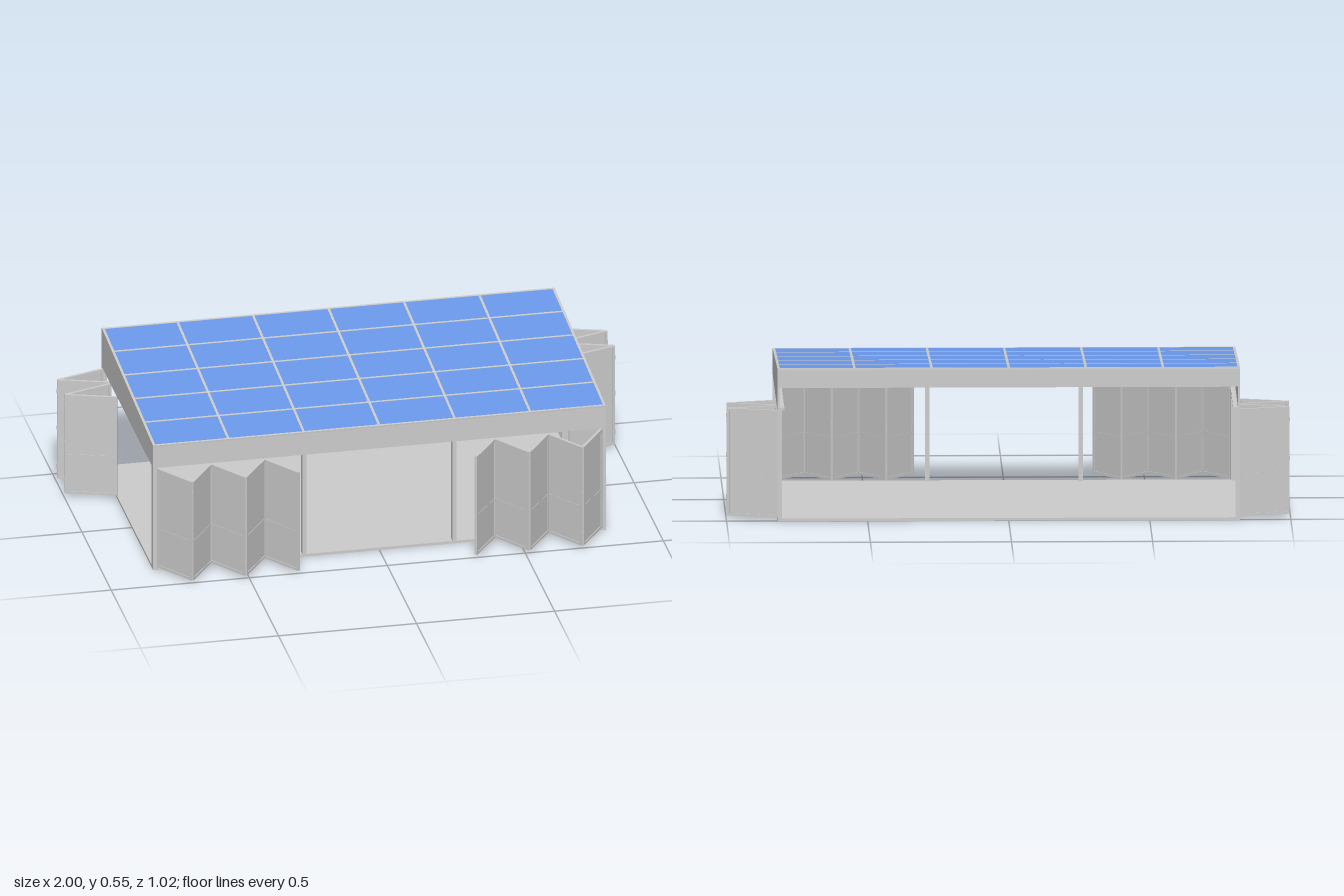
import * as THREE from 'three';

const grey = new THREE.MeshStandardMaterial({ color: 0xcccccc });
const blue = new THREE.MeshStandardMaterial({ color: 0x6a98ea });

const HALF = 0.82, BACK = -0.51, FRONT = 0.367;
const DEPTH = FRONT - BACK, LOW = 0.479, HIGH = 0.542;
const SLOPE = Math.atan2(HIGH - LOW, DEPTH);
const roofY = z => LOW + (FRONT - z) / DEPTH * (HIGH - LOW);

function box(parent, name, w, h, d, x, y, z, mat = grey) {
  const m = new THREE.Mesh(new THREE.BoxGeometry(w, h, d), mat);
  m.name = name;
  m.position.set(x, y, z);
  parent.add(m);
  return m;
}

// One framed door leaf standing between two plan points [x, z]
function doorLeaf(a, b) {
  const leaf = new THREE.Group();
  leaf.name = 'doorLeaf';
  const dx = b[0] - a[0], dz = b[1] - a[1], len = Math.hypot(dx, dz);
  const y0 = 0.012, y1 = 0.396, h = y1 - y0, mid = (y0 + y1) / 2, t = 0.01, f = 0.009;
  for (const s of [-1, 1]) {
    box(leaf, 'doorStile', f, h, t, s * (len - f) / 2, mid, 0);
    box(leaf, 'doorRail', len - 2 * f, f, t, 0, mid + s * (h - f) / 2, 0);
  }
  box(leaf, 'doorMidRail', len - 2 * f, f, 0.007, 0, 0.16, 0);
  box(leaf, 'doorPanel', len - 2 * f, h - 2 * f, 0.004, 0, mid, 0);
  leaf.position.set((a[0] + b[0]) / 2, 0, (a[1] + b[1]) / 2);
  leaf.rotation.y = -Math.atan2(dz, dx);
  return leaf;
}

// Row of leaves folded in a zigzag, with hinges on the folds
function foldingDoor(name, points) {
  const g = new THREE.Group();
  g.name = name;
  points.forEach((p, i) => {
    if (i === 0) return;
    g.add(doorLeaf(points[i - 1], p));
    if (i === points.length - 1) return;
    for (const y of [0.06, 0.21, 0.35]) {
      const hinge = new THREE.Mesh(new THREE.CylinderGeometry(0.004, 0.004, 0.016, 8), grey);
      hinge.name = 'hinge';
      hinge.position.set(p[0], y, p[1]);
      g.add(hinge);
    }
  });
  return g;
}

// Sloping roof: blue panels held in a grid of bars
function makeRoof() {
  const roof = new THREE.Group();
  roof.name = 'roof';
  const cols = 6, rows = 5, w = 2 * HALF / cols, len = DEPTH / Math.cos(SLOPE), d = len / rows;
  const bar = 0.009, thick = 0.008;
  for (let c = 0; c < cols; c++)
    for (let r = 0; r < rows; r++)
      box(roof, 'roofPanel', w - bar, 0.004, d - bar,
        -HALF + (c + 0.5) * w, 0.001, -len / 2 + (r + 0.5) * d, blue);
  for (let c = 0; c <= cols; c++) {
    const x = THREE.MathUtils.clamp(-HALF + c * w, -HALF + bar / 2, HALF - bar / 2);
    box(roof, 'roofBar', bar, thick, len, x, 0, 0);
  }
  for (let r = 0; r <= rows; r++) {
    const z = THREE.MathUtils.clamp(-len / 2 + r * d, -len / 2 + bar / 2, len / 2 - bar / 2);
    box(roof, 'roofCrossBar', 2 * HALF, thick, bar, 0, 0, z);
  }
  roof.position.set(0, (LOW + HIGH) / 2 + 0.003, (FRONT + BACK) / 2);
  roof.rotation.x = SLOPE;
  return roof;
}

export function createModel() {
  const model = new THREE.Group();
  model.name = 'pavilion';
  const midZ = (FRONT + BACK) / 2;

  box(model, 'floor', 2 * HALF, 0.01, DEPTH, 0, 0.005, midZ);
  model.add(makeRoof());

  // Front fascia and the shallower back fascia with its joint strips
  box(model, 'frontFascia', 2 * HALF, LOW - 0.402, 0.008, 0, (LOW + 0.402) / 2, FRONT - 0.004);
  box(model, 'backFascia', 2 * HALF, 0.064, 0.008, 0, HIGH - 0.032, BACK + 0.004);
  for (let c = 1; c < 6; c++)
    box(model, 'backFasciaJoint', 0.004, 0.064, 0.002, -HALF + c * 2 * HALF / 6, HIGH - 0.032, BACK);
  box(model, 'frontDoorTrack', 2 * HALF, 0.008, 0.025, 0, 0.402, FRONT - 0.0125);

  for (const s of [-1, 1]) {
    // Tapered side fascia
    const shape = new THREE.Shape([
      [-FRONT, 0.402], [-BACK, 0.402], [-BACK, roofY(BACK)], [-FRONT, roofY(FRONT)],
    ].map(p => new THREE.Vector2(...p)));
    const geo = new THREE.ExtrudeGeometry(shape, { depth: 0.008, bevelEnabled: false });
    geo.rotateY(Math.PI / 2);
    geo.translate(s > 0 ? HALF - 0.008 : -HALF, 0, 0);
    const side = new THREE.Mesh(geo, grey);
    side.name = 'sideFascia';
    model.add(side);
    box(model, 'sideDoorTrack', 0.025, 0.008, DEPTH, s * (HALF - 0.0125), 0.402, midZ);

    // Corner posts and front intermediate post
    box(model, 'frontCornerPost', 0.016, 0.39, 0.026, s * (HALF - 0.008), 0.205, FRONT - 0.013);
    box(model, 'backCornerPost', 0.016, 0.39, 0.016, s * (HALF - 0.008), 0.205, BACK + 0.008);
    box(model, 'frontPost', 0.015, 0.39, 0.026, s * 0.272, 0.205, FRONT - 0.013);

    // Folded doors: five leaves in front, two pairs on the side
    const front = [];
    for (let i = 0; i < 6; i++) front.push([s * (0.803 - i * 0.0965), i % 2 ? 0.503 : 0.366]);
    model.add(foldingDoor('frontFoldingDoor', front));
    for (const z of [-0.496, -0.368])
      model.add(foldingDoor('sideFoldingDoor',
        [[s * 0.818, z], [s * 0.995, z + 0.057], [s * 0.818, z + 0.115]]));
  }
  return model;
}
